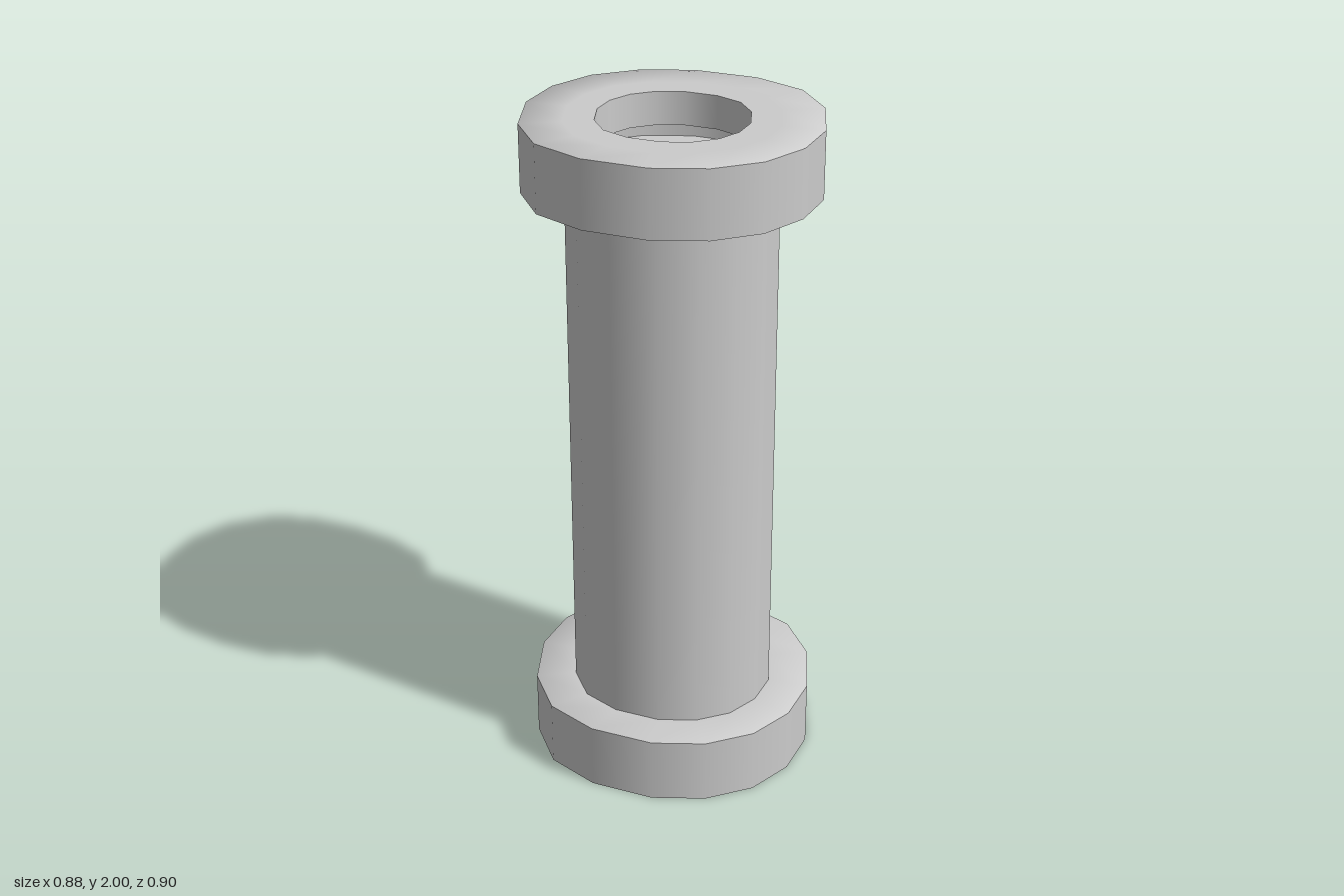
import * as THREE from 'three';

// Quarter outline of the sixteen-sided section, slightly longer in z.
const RIM = 0.44;
const quarter = [[0, 0.45], [0.15, 0.418], [0.284, 0.328], [0.397, 0.169], [0.44, 0]];
const outline = [
  ...quarter,
  ...quarter.slice(0, -1).reverse().map(([x, z]) => [x, -z]),
  ...quarter.slice(1).map(([x, z]) => [-x, -z]),
  ...quarter.slice(0, -1).reverse().map(([x, z]) => [-x, z]),
];

// Strip between two rings; each ring is [radius, y, radial normal, vertical normal].
function strip(name, material, a, b) {
  const position = [], normal = [], index = [];
  for (const [r, y, nr, ny] of [a, b]) {
    for (const [x, z] of outline) {
      const l = Math.hypot(x, z), n = Math.hypot(nr, ny);
      position.push(x * r / RIM, y, z * r / RIM);
      normal.push(x / l * nr / n, ny / n, z / l * nr / n);
    }
  }
  const count = outline.length;
  for (let i = 0; i < count - 1; i++) {
    index.push(i, i + 1, count + i + 1, i, count + i + 1, count + i);
  }
  const geometry = new THREE.BufferGeometry();
  geometry.setAttribute('position', new THREE.Float32BufferAttribute(position, 3));
  geometry.setAttribute('normal', new THREE.Float32BufferAttribute(normal, 3));
  geometry.setIndex(index);
  const mesh = new THREE.Mesh(geometry, material);
  mesh.name = name;
  return mesh;
}

// Surfaces of the upper flange, running up the outside and down the inside.
const flangeParts = [
  ['underside', [0.31, 1.8, 0, -1], [RIM, 1.8, 0.5, -1]],
  ['outerWall', [RIM, 1.8, 1, 0], [RIM, 2, 1, 0]],
  ['softFace', [RIM, 2, 0.6, 1], [0.315, 2, 0, 1]],
  ['flatFace', [0.315, 2, 0, 1], [0.225, 2, 0, 1]],
  ['bore', [0.225, 2, -1, 0], [0.225, 1.9, -1, 0]],
  ['lipUnderside', [0.225, 1.9, 0, -1], [0.4, 1.9, 0, -1]],
  ['recessWall', [0.4, 1.9, -1, 0], [0.4, 1.81, -1, 0]],
  ['ledge', [0.4, 1.81, 0, 1], [0.29, 1.81, 0, 1]],
];

export function createModel() {
  const model = new THREE.Group();
  model.name = 'flangedTube';
  const material = new THREE.MeshStandardMaterial({ color: 0xcccccc });

  // Hollow shaft
  const shaft = new THREE.Group();
  shaft.name = 'shaft';
  shaft.add(
    strip('shaftOuterWall', material, [0.315, 0.2, 1, 0], [0.315, 1.8, 1, 0]),
    strip('shaftInnerWall', material, [0.29, 1.81, -1, 0], [0.29, 0.19, -1, 0]),
  );
  model.add(shaft);

  // Flanges: the lower one mirrors the upper one
  const flip = ([r, y, nr, ny]) => [r, 2 - y, nr, -ny];
  const upper = new THREE.Group(), lower = new THREE.Group();
  upper.name = 'upperFlange';
  lower.name = 'lowerFlange';
  for (const [name, a, b] of flangeParts) {
    upper.add(strip(name, material, a, b));
    lower.add(strip(name, material, flip(b), flip(a)));
  }
  model.add(upper, lower);
  return model;
}
